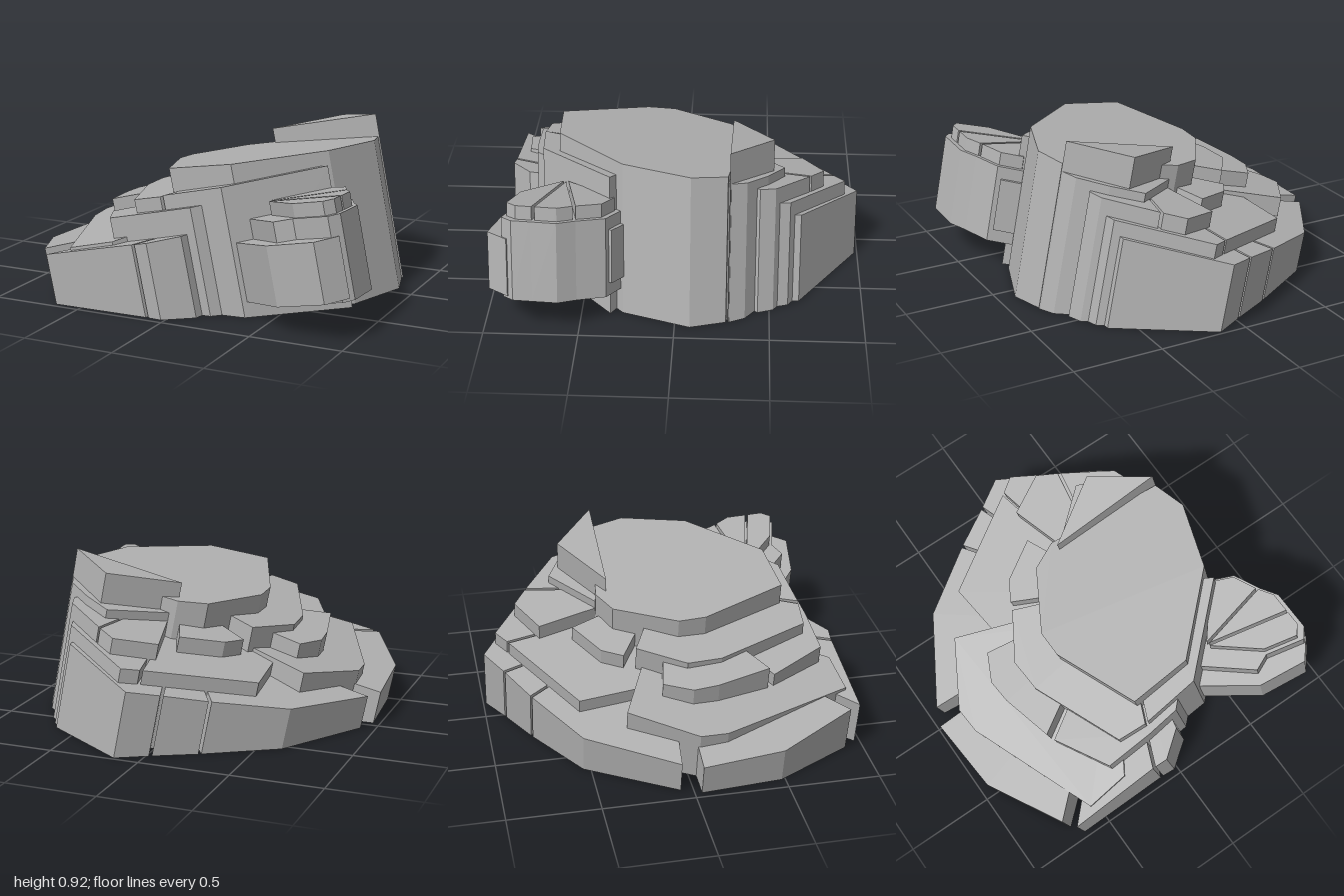
import * as THREE from 'three';

const LEAN = 0.2; // sideways shift of the walls per unit of height
const GAP = 0.008; // half the width of a crack
const CORE = [0.2, 0.05]; // point the steps are gathered round

const scaleAbout = ([cx, cz], s) => ([x, z]) => [cx + (x - cx) * s, cz + (z - cz) * s];

// Point moved a little from a towards b
function nudge(a, b) {
  const t = GAP / Math.hypot(b[0] - a[0], b[1] - a[1]);
  return [a[0] + (b[0] - a[0]) * t, a[1] + (b[1] - a[1]) * t];
}

export function createModel() {
  const model = new THREE.Group();
  model.name = 'layeredRock';
  const stone = new THREE.MeshStandardMaterial({ color: 0xb0b0b0, side: THREE.DoubleSide });
  stone.name = 'greyStone';

  function addGroup(name) {
    const group = new THREE.Group();
    group.name = name;
    model.add(group);
    return group;
  }

  // Leaning prism, open below: outline of its sloping top in [x, z]; without a depth it runs down to the ground
  function slab(parent, name, h, outline, { depth = 0, bx = 0.22, bz = 0.05 } = {}) {
    const pts = outline.map(([x, z]) => new THREE.Vector2(x, -z));
    if (THREE.ShapeUtils.isClockWise(pts)) pts.reverse();
    const top = pts.map((p) => new THREE.Vector3(p.x, h + bx * p.x - bz * p.y, -p.y));
    const low = top.map((p) => {
      const t = depth || p.y;
      return new THREE.Vector3(p.x + LEAN * t, p.y - t, p.z);
    });
    const tris = THREE.ShapeUtils.triangulateShape(pts, []).flat().map((i) => top[i]);
    top.forEach((p, i) => {
      const j = (i + 1) % top.length;
      tris.push(low[i], low[j], top[j], low[i], top[j], p);
    });
    const geo = new THREE.BufferGeometry().setFromPoints(tris);
    geo.computeVertexNormals();
    const mesh = new THREE.Mesh(geo, stone);
    mesh.name = name;
    parent.add(mesh);
  }

  // Band of blocks: the outer rim, cracked at some corners, each block narrowing towards a centre
  function ledge(parent, name, h, rim, { cracks = [], centre = CORE, keep = 0.2, ...shape } = {}) {
    const ends = [0, ...cracks, rim.length - 1];
    for (let k = 0; k < ends.length - 1; k++) {
      const outer = rim.slice(ends[k], ends[k + 1] + 1);
      const inner = outer.map(scaleAbout(centre, keep));
      for (const edge of [outer, inner]) {
        const n = edge.length - 1;
        const start = nudge(edge[0], edge[1]);
        edge[n] = nudge(edge[n], edge[n - 1]);
        edge[0] = start;
      }
      slab(parent, name + (k + 1), h, [...outer, ...inner.reverse()], shape);
    }
  }

  // Stepped strata, lowest first
  const strata = addGroup('strata');
  ledge(strata, 'bottomStepFront', 0.375, [[0.05, 0.85], [-0.1, 0.965], [-0.18, 0.96], [-0.71, 0.97]],
    { cracks: [2] });
  ledge(strata, 'bottomStepLeft', 0.4, [[-0.75, 0.91], [-0.97, 0.48], [-1, 0.03]]);
  ledge(strata, 'bottomStepBack', 0.4, [[-0.96, -0.06], [-0.67, -0.54], [-0.31, -0.77], [-0.09, -0.89],
    [0.07, -0.985], [0.54, -0.66], [0.54, -0.6]], { cracks: [2, 3] });

  ledge(strata, 'secondStepFront', 0.484, [[-0.33, 0.9], [-0.58, 0.925], [-0.86, 0.2], [-0.87, 0.05],
    [-0.66, -0.31]], { bz: -0.05 });
  ledge(strata, 'secondStepBack', 0.48, [[-0.46, -0.2], [-0.49, -0.53], [0.04, -0.85], [0.13, -0.91],
    [0.56, -0.6], [0.58, -0.53]], { cracks: [2] });

  ledge(strata, 'thirdStepFront', 0.515, [[0.13, 0.74], [0.07, 0.8], [-0.12, 0.82], [-0.39, 0.83],
    [-0.55, 0.52]]);
  ledge(strata, 'thirdStepLeft', 0.58, [[-0.57, 0.5], [-0.64, 0.2], [-0.65, 0.06], [-0.57, -0.1]]);
  ledge(strata, 'thirdStepMiddle', 0.57, [[-0.31, -0.25], [-0.24, -0.37], [-0.02, -0.5]]);
  ledge(strata, 'thirdStepBack', 0.57, [[0.01, -0.67], [0.23, -0.785], [0.34, -0.71], [0.59, -0.52],
    [0.62, -0.43]], { cracks: [2] });

  ledge(strata, 'fourthStepFront', 0.595, [[0.65, 0.34], [0.22, 0.745], [-0.11, 0.775]]);
  ledge(strata, 'fourthStepLeft', 0.62, [[-0.11, 0.775], [-0.28, 0.76], [-0.48, 0.25], [-0.49, 0.06],
    [-0.33, -0.2]], { bz: 0.01 });
  ledge(strata, 'fourthStepBack', 0.62, [[0.04, -0.3], [0.36, -0.57], [0.52, -0.48], [0.66, -0.37],
    [0.7, -0.28]]);

  // Broad top table, and the wedge standing at its back edge
  slab(strata, 'topTable', 0.71, [[-0.3, 0.05], [-0.3, 0.2], [-0.12, 0.67], [0.23, 0.65], [0.62, 0.28],
    [0.74, -0.08], [0.69, -0.27], [0.04, -0.35], [-0.11, -0.28]], { bx: 0.15, bz: 0.06 });
  slab(strata, 'topWedge', 0.78, [[0.04, -0.29], [0.39, -0.51], [0.67, -0.28]], { bz: 0.02 });

  // Smaller stepped boulder hanging on the front corner
  const boulder = addGroup('sideBoulder');
  const apex = [0.41, 0.6];
  const capRim = [[0.64, 0.32], [0.76, 0.38], [0.82, 0.515], [0.87, 0.6], [0.87, 0.72], [0.87, 0.81],
    [0.83, 0.86], [0.64, 0.81]];
  ledge(boulder, 'boulderCap', 0.475, capRim, { cracks: [2, 4], centre: apex, keep: 0.06, depth: 0.5 });
  slab(boulder, 'boulderMiddle', 0.4, [...capRim.map(scaleAbout([0.45, 0.6], 1.1)), [0.57, 0.87],
    [0.33, 0.65], [0.55, 0.41]], { depth: 0.43 });
  slab(boulder, 'boulderFrontLedge', 0.29, [[0.29, 0.72], [0.56, 0.93], [0.83, 0.97], [0.92, 0.86],
    [0.45, 0.6]], { depth: 0.31 });
  slab(boulder, 'boulderBackLedge', 0.33, [[0.58, 0.35], [0.66, 0.26], [0.79, 0.33], [0.65, 0.5]],
    { depth: 0.29 });

  return model;
}
